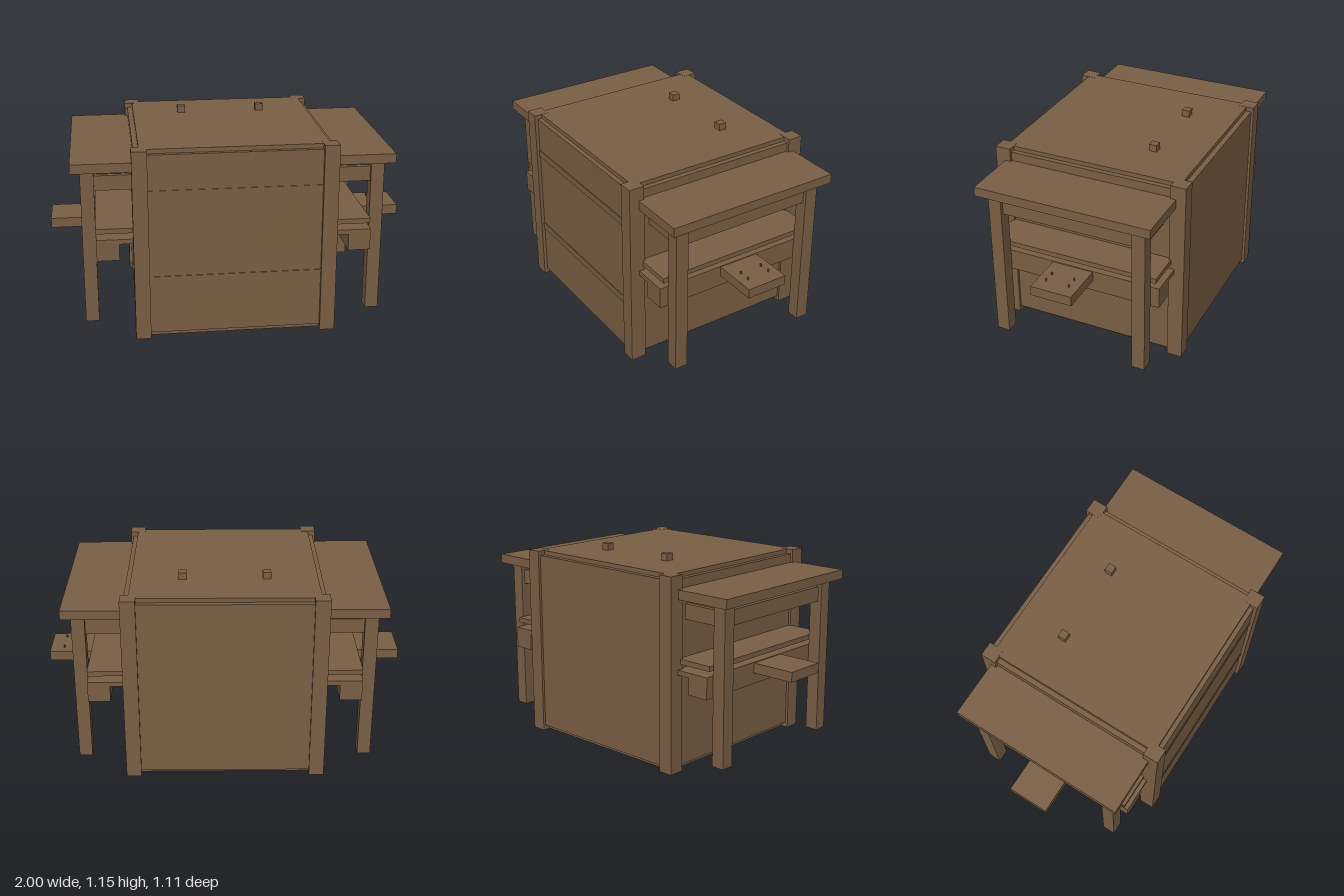
import * as THREE from 'three';

export function createModel() {
  const model = new THREE.Group();
  model.name = 'workbenchBlock';
  const wood = new THREE.MeshStandardMaterial({ color: 0x7a5f45 });
  wood.name = 'brown wood';

  // box given by its minimum and maximum along each axis
  const box = (parent, name, [x0, x1], [y0, y1], [z0, z1]) => {
    const mesh = new THREE.Mesh(new THREE.BoxGeometry(x1 - x0, y1 - y0, z1 - z0), wood);
    mesh.position.set((x0 + x1) / 2, (y0 + y1) / 2, (z0 + z1) / 2);
    mesh.name = name;
    parent.add(mesh);
  };
  const around = (c, w) => [c - w / 2, c + w / 2];

  // central cabinet: four posts and six inset panels
  const cabinet = new THREE.Group();
  cabinet.name = 'cabinet';
  model.add(cabinet);
  for (const sx of [-1, 1]) {
    for (const sz of [-1, 1]) {
      box(cabinet, 'cornerPost', around(sx * 0.511, 0.083), [0.04, 1.112], around(sz * 0.511, 0.087));
      box(cabinet, 'footPeg', around(sx * 0.23, 0.045), [0, 0.05], around(sz * 0.238, 0.045));
    }
    box(cabinet, 'sidePanel', around(sx * 0.523, 0.03), [0.068, 1.087], [-0.47, 0.47]);
    box(cabinet, 'topPeg', around(sx * 0.23, 0.045), [1.1, 1.15], around(-0.238, 0.045));
  }
  box(cabinet, 'frontPanel', [-0.47, 0.47], [0.068, 1.087], [0.508, 0.535]);
  box(cabinet, 'backPanel', [-0.47, 0.47], [0.068, 1.087], [-0.54, -0.51]);
  box(cabinet, 'topPanel', [-0.51, 0.51], [1.08, 1.111], [-0.51, 0.51]);
  box(cabinet, 'bottomPanel', [-0.51, 0.51], [0.041, 0.072], [-0.51, 0.51]);
  // shallow front battens
  for (const y of [0.38, 0.87]) box(cabinet, 'frontBatten', [-0.47, 0.47], around(y, 0.04), [0.534, 0.539]);

  // a side table on each flank
  for (const s of [1, -1]) {
    const table = new THREE.Group();
    table.name = s > 0 ? 'leftTable' : 'rightTable';
    model.add(table);
    const span = (a, b) => (s > 0 ? [a, b] : [-b, -a]);
    box(table, 'tableTop', span(0.535, 0.873), [0.985, 1.037], [-0.5, 0.5]);
    for (const sz of [-1, 1]) {
      box(table, 'tableLeg', span(0.75, 0.823), [0.115, 0.986], around(sz * 0.414, 0.073));
      box(table, 'sideRail', span(0.535, 0.752), [0.867, 0.95], around(sz * 0.414, 0.03));
    }
    box(table, 'crossRail', span(0.772, 0.802), [0.867, 0.95], [-0.38, 0.38]);
    // shelf, lower board and beam
    box(table, 'shelf', span(0.535, 0.75), [0.637, 0.665], [-0.48, 0.48]);
    box(table, 'lowerBoard', span(0.535, 0.75), [0.583, 0.61], [-0.5, 0.5]);
    box(table, 'beam', span(0.627, 0.75), [0.49, 0.584], [-0.5, 0.5]);
    box(table, 'tongue', span(0.745, 1.0), [0.551, 0.606], [-0.118, 0.118]);
  }

  // thin pins through one tongue
  for (const x of [0.86, 0.922])
    for (const z of [-0.066, 0.066]) {
      const pin = new THREE.Mesh(new THREE.CylinderGeometry(0.005, 0.005, 0.09, 8), wood);
      pin.position.set(x, 0.577, z);
      pin.name = 'pin';
      model.add(pin);
    }
  return model;
}
